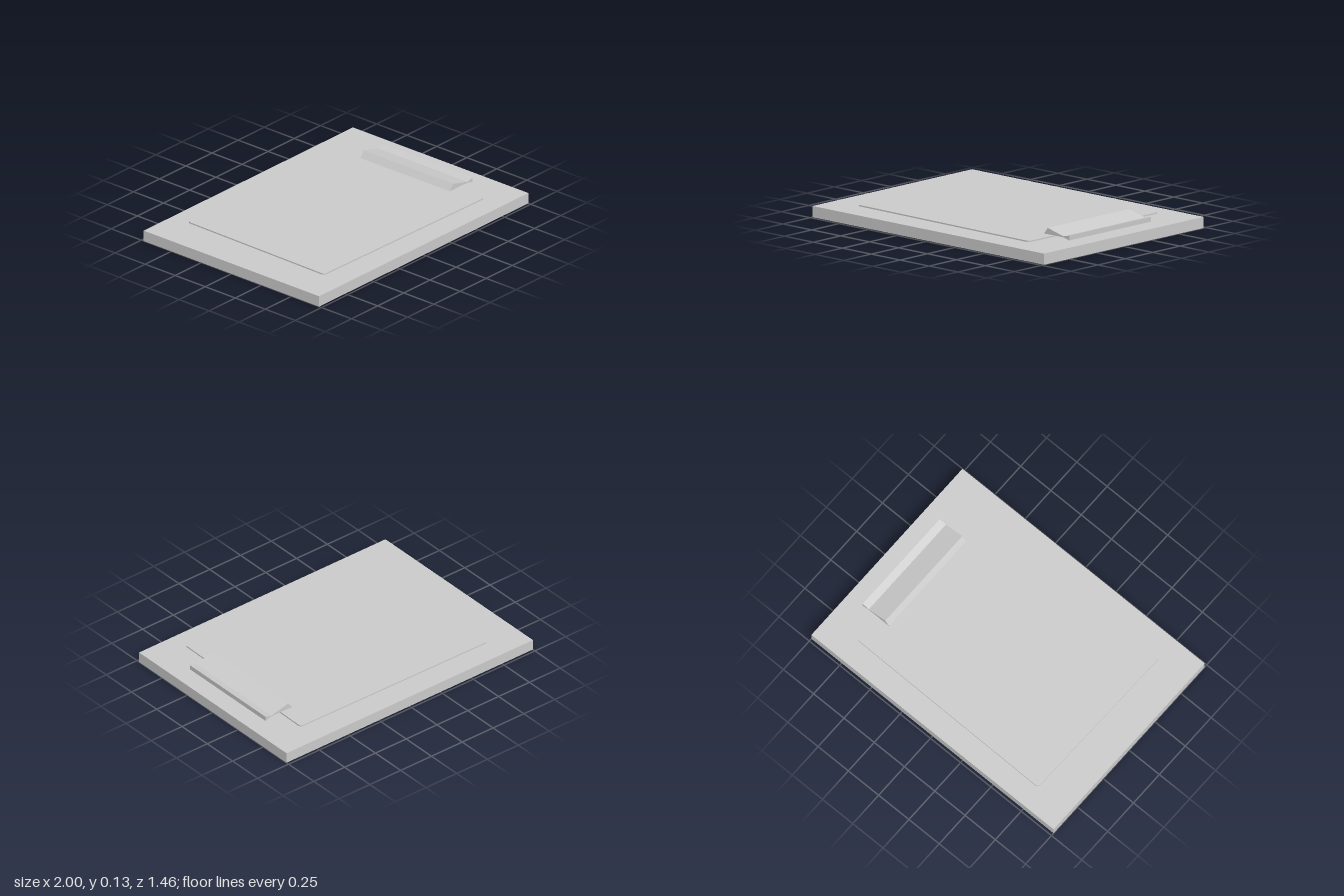
import * as THREE from 'three';

const material = new THREE.MeshStandardMaterial({ color: 0xcccccc, flatShading: true });

function addPart(group, name, geometry) {
  const mesh = new THREE.Mesh(geometry, material);
  mesh.name = name;
  group.add(mesh);
  return mesh;
}

// Closed outline with every corner rounded by a quadratic curve
function roundedOutline(corners, radius) {
  const shape = new THREE.Shape();
  const points = corners.map(([x, y]) => new THREE.Vector2(x, y));
  points.forEach((corner, i) => {
    const before = points[(i + points.length - 1) % points.length];
    const after = points[(i + 1) % points.length];
    const start = before.clone().sub(corner).setLength(radius).add(corner);
    const end = after.clone().sub(corner).setLength(radius).add(corner);
    if (i === 0) shape.moveTo(start.x, start.y);
    else shape.lineTo(start.x, start.y);
    shape.quadraticCurveTo(corner.x, corner.y, end.x, end.y);
  });
  shape.closePath();
  return shape;
}

export function createModel() {
  const group = new THREE.Group();
  group.name = 'clipboard';

  // Backing board
  const board = new THREE.BoxGeometry(2, 0.072, 1.46);
  board.translate(0, 0.036, 0);
  addPart(group, 'board', board);

  // Thin, slightly crooked stack of paper, drawn as (x, -z) and laid flat
  const outline = roundedOutline(
    [[-0.765, -0.567], [0.74, -0.593], [0.757, 0.572], [-0.747, 0.584]], 0.025);
  const paper = new THREE.ExtrudeGeometry(outline, { depth: 0.009, bevelEnabled: false, curveSegments: 4 });
  paper.rotateX(-Math.PI / 2);
  paper.translate(0, 0.082, 0);
  addPart(group, 'paper', paper);

  // Bent clip, its side profile extruded along z
  const profile = new THREE.Shape([
    [0.663, 0.091], [0.755, 0.093], [0.83, 0.092], [0.88, 0.08],
    [0.88, 0.111], [0.83, 0.099], [0.694, 0.133],
  ].map(([x, y]) => new THREE.Vector2(x, y)));
  const clip = new THREE.ExtrudeGeometry(profile, { depth: 0.745, bevelEnabled: false });
  clip.translate(0, 0, -0.374);
  addPart(group, 'clip', clip);

  return group;
}
